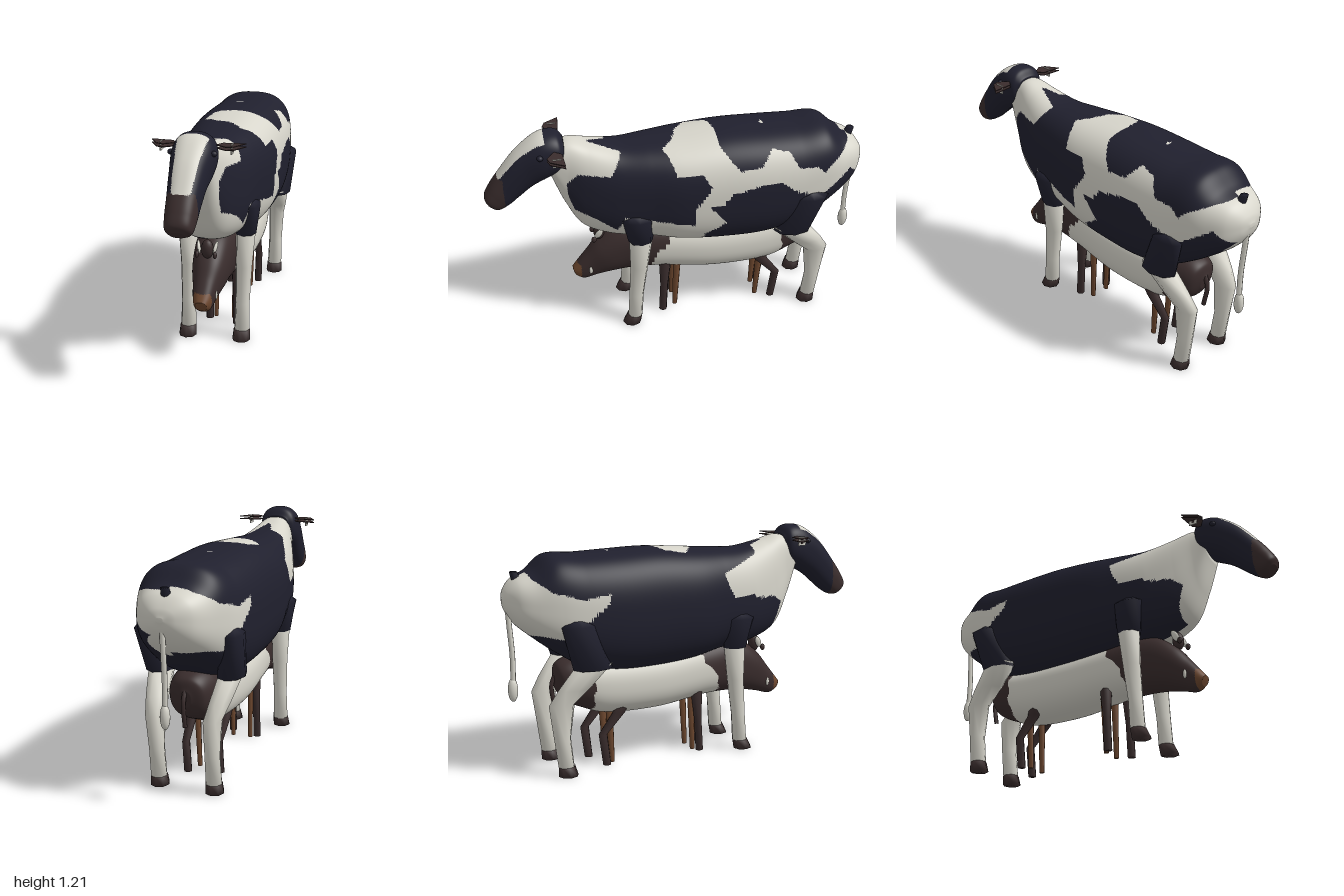
import * as THREE from 'three';

const mat = (name, color) => {
  const m = new THREE.MeshStandardMaterial({ color });
  m.name = name;
  return m;
};
const black = mat('blue black hide', 0x20202e);
const white = mat('cream white hide', 0xd8d6cc);
const brown = mat('dark brown', 0x3a2d2d);
const tan = mat('tan', 0x6e482f);

// Skin over rings. Each section is [zA, yA, zB, yB, halfWidth, xCentre]:
// A and B are opposite ends of the ring in the z-y plane.
// pick(x, y, z, c) returns a material index; c is 1 at the A side and -1 at the B side.
function loft(name, sections, nU, nV, mats, pick = () => 0, power = 2.4) {
  const curve = f => new THREE.CatmullRomCurve3(sections.map(f));
  const a = curve(s => new THREE.Vector3(s[4], s[1], s[0]));
  const b = curve(s => new THREE.Vector3(s[5] || 0, s[3], s[2]));
  const round = v => Math.sign(v) * Math.abs(v) ** (2 / power);
  const pos = [];
  for (let i = 0; i <= nU; i++) {
    const p = a.getPoint(i / nU), q = b.getPoint(i / nU);
    for (let j = 0; j < nV; j++) {
      const t = (j / nV) * Math.PI * 2, k = (1 + round(Math.cos(t))) / 2;
      pos.push(q.x + p.x * round(Math.sin(t)), q.y + (p.y - q.y) * k, q.z + (p.z - q.z) * k);
    }
  }
  for (const t of [0, 1]) {
    const p = a.getPoint(t), q = b.getPoint(t);
    pos.push(q.x, (p.y + q.y) / 2, (p.z + q.z) / 2);
  }
  const tris = [], end = (nU + 1) * nV;
  for (let j = 0; j < nV; j++) {
    const k = (j + 1) % nV, c = Math.cos(((j + 0.5) / nV) * Math.PI * 2);
    for (let i = 0; i < nU; i++) {
      const r = i * nV, s = r + nV;
      tris.push([r + j, s + j, s + k, c], [r + j, s + k, r + k, c]);
    }
    tris.push([end, j, k, c], [end + 1, nU * nV + k, nU * nV + j, c]);
  }
  // Turn all faces outward and sort them by colour
  const P = i => new THREE.Vector3().fromArray(pos, i * 3);
  const buckets = mats.map(() => []);
  let volume = 0;
  for (const [i, j, k, c] of tris) {
    const p = P(i), q = P(j), r = P(k);
    volume += p.dot(q.clone().cross(r));
    const m = p.add(q).add(r).divideScalar(3);
    buckets[pick(m.x, m.y, m.z, c)].push([i, j, k]);
  }
  const g = new THREE.BufferGeometry(), index = [];
  buckets.forEach((list, n) => {
    g.addGroup(index.length, list.length * 3, n);
    for (const [i, j, k] of list) index.push(i, ...(volume < 0 ? [k, j] : [j, k]));
  });
  g.setAttribute('position', new THREE.Float32BufferAttribute(pos, 3));
  g.setIndex(index);
  g.computeVertexNormals();
  const mesh = new THREE.Mesh(g, mats);
  mesh.name = name;
  return mesh;
}

// Leg piece from [y, z, halfDepth, x, halfWidth] rows; side is 1 or -1
const limb = (name, rows, side, material, dz = 0) =>
  loft(name, rows.map(([y, z, h, x, w]) => [z + dz + h, y, z + dz - h, y, w, x * side]),
    rows.length - 1, 8, [material], () => 0, 2);

function inside(poly, z, y) {
  let hit = false;
  poly.forEach(([z1, y1], i) => {
    const [z2, y2] = poly[(i + 1) % poly.length];
    if (y1 > y !== y2 > y && z < z1 + ((y - y1) / (y2 - y1)) * (z2 - z1)) hit = !hit;
  });
  return hit;
}

// Hide patches as (z, y) outlines
const leftBlack = [
  [[.58, .95], [.52, 1.01], [.36, 1], [.3, 1.09], [.3, 1.2], [.05, 1.2], [0, 1.08], [-.08, 1.03],
    [-.14, .93], [-.05, .8], [-.06, .7], [.1, .73], [.3, .76], [.34, .67], [.45, .75], [.55, .79], [.575, .87]],
  [[-.18, 1.2], [-.2, 1.1], [-.29, 1], [-.4, 1.01], [-.46, 1.08], [-.55, 1.06], [-.6, .98], [-.7, .97],
    [-.74, .93], [-.78, .97], [-.86, 1.01], [-.92, 1.03], [-.92, 1.2]],
  [[-.13, .82], [-.2, .82], [-.25, .88], [-.38, .91], [-.5, .92], [-.56, .87], [-.62, .83], [-.75, .8],
    [-.9, .9], [-.97, .83], [-.85, .7], [-.7, .58], [-.7, .4], [-.12, .4], [-.11, .62], [-.22, .7]],
];
const rightWhite = [
  [[.13, .99], [.25, 1.03], [.36, 1.07], [.4, 1.25], [.75, 1.25], [.75, .5], [.47, .5], [.49, .68],
    [.525, .8], [.46, .84], [.36, .84], [.3, .87], [.2, .85], [.16, .91]],
  [[-.91, 1.2], [-.88, 1.02], [-.8, .96], [-.65, .92], [-.52, .94], [-.53, .89], [-.62, .82], [-.75, .72],
    [-.85, .74], [-1.1, .7], [-1.1, 1.2]],
];
// White saddle seen from above, as (z, x)
const saddle = [[-.17, -.1], [-.2, .02], [-.16, .1], [-.22, .25], [.02, .25], [.09, .1], [.04, .05],
  [0, -.05], [-.06, -.13]];

function hide(x, y, z) {
  if (y > 1) {
    if (z > .2 && z < .46 && Math.abs(x) < (.47 - z) * .4) return 0;
    if (inside(saddle, z, x) || Math.hypot(x + .02, z + .45) < .014) return 1;
  }
  if (x > 0) return leftBlack.some(p => inside(p, z, y)) ? 0 : 1;
  return rightWhite.some(p => inside(p, z, y)) ? 1 : 0;
}

function ellipsoid(name, material, size, at) {
  const m = new THREE.Mesh(new THREE.SphereGeometry(1, 16, 10), material);
  m.name = name;
  m.scale.set(...size);
  m.position.set(...at);
  return m;
}

function box(name, material, size, at) {
  const m = new THREE.Mesh(new THREE.BoxGeometry(...size), material);
  m.name = name;
  m.position.set(...at);
  return m;
}

function tube(name, material, points, r) {
  const path = new THREE.CatmullRomCurve3(points.map(p => new THREE.Vector3(...p)));
  const m = new THREE.Mesh(new THREE.TubeGeometry(path, 12, r, 8), material);
  m.name = name;
  return m;
}

// Two thin leaf plates, one above the other
function buildEar(side) {
  const ear = new THREE.Group();
  ear.name = 'ear';
  const outline = [[.095, .63], [.12, .59], [.228, .582], [.185, .655], [.15, .668]];
  const leaf = new THREE.Shape(outline.map(p => new THREE.Vector2(...p)));
  const geo = new THREE.ExtrudeGeometry(leaf, { depth: .004, bevelEnabled: false }).rotateX(Math.PI / 2);
  for (const y of [1.132, 1.147]) {
    const plate = new THREE.Mesh(geo, brown);
    plate.name = 'earPlate';
    plate.position.y = y;
    ear.add(plate);
  }
  ear.scale.x = side;
  return ear;
}

function buildCow() {
  const cow = new THREE.Group();
  cow.name = 'cow';
  cow.add(loft('body', [
    [.62, 1.14, .65, .96, .08], [.55, 1.155, .59, .79, .1], [.45, 1.13, .51, .65, .14],
    [.3, 1.1, .38, .59, .185], [.15, 1.105, .15, .555, .222], [0, 1.115, 0, .525, .25],
    [-.23, 1.13, -.23, .505, .26], [-.45, 1.125, -.45, .51, .262], [-.62, 1.12, -.62, .55, .25],
    [-.77, 1.12, -.74, .62, .225], [-.86, 1.05, -.86, .71, .185], [-.94, 1.01, -.94, .78, .135],
    [-.985, .96, -.985, .85, .07], [-1, .92, -1, .9, .015],
  ], 240, 140, [black, white], hide, 2.65));

  // Head with white blaze and brown muzzle
  cow.add(loft('head', [
    [.575, 1.16, .58, 1.07, .07], [.61, 1.2, .6, 1, .1], [.69, 1.2, .66, .965, .106],
    [.81, 1.12, .74, .92, .09], [.92, .99, .82, .855, .077], [.97, .92, .87, .815, .072],
    [.998, .865, .92, .79, .062], [.99, .83, .955, .795, .035],
  ], 90, 80, [black, white, brown], (x, y, z, c) => {
    if (z > .895 && y < .985) return 2;
    return c > .2 && z > .67 && Math.abs(x) < .075 - (z - .67) * .12 ? 1 : 0;
  }));

  for (const s of [1, -1]) {
    cow.add(ellipsoid('eye', black, [.018, .014, .016], [s * .1, 1.12, .7]));
    cow.add(buildEar(s));
    cow.add(box('earTag', white, [.006, .046, .044], [s * .17, 1.128, .62]));
    cow.add(box('earTagStud', brown, [.009, .014, .014], [s * .17, 1.122, .62]));

    // Front leg
    cow.add(limb('shoulder', [[.765, .23, .055, .175, .03], [.74, .232, .085, .188, .046],
      [.58, .22, .066, .155, .055]], s, black));
    cow.add(limb('frontLeg', [[.59, .218, .063, .155, .052], [.4, .23, .049, .148, .044], [.2, .25, .04, .146, .038],
      [.05, .26, .04, .146, .042]], s, white));
    cow.add(limb('frontHoof', [[.052, .263, .043, .146, .044], [0, .28, .052, .146, .048]], s, brown));
    // Hind leg
    cow.add(limb('thigh', [[.82, -.675, .04, .21, .03], [.79, -.68, .09, .225, .05], [.56, -.6, .103, .186, .069]], s, black));
    cow.add(limb('hindLeg', [[.58, -.59, .098, .185, .06], [.46, -.69, .087, .165, .052], [.38, -.757, .068, .15, .045],
      [.2, -.757, .044, .146, .039], [.05, -.74, .042, .146, .042]], s, white));
    cow.add(limb('hindHoof', [[.052, -.738, .044, .146, .044], [0, -.73, .052, .146, .048]], s, brown));
  }

  // Tail
  cow.add(limb('tailBase', [[.97, -.91, .03, 0, .026], [1.045, -.938, .02, 0, .022]], 1, black));
  cow.add(tube('tail', white, [[0, .9, -.975], [0, .78, -.968], [0, .62, -.958], [0, .46, -.96]], .014));
  cow.add(ellipsoid('tailTuft', white, [.024, .062, .026], [0, .445, -.962]));
  return cow;
}

function buildCalf() {
  const calf = new THREE.Group();
  calf.name = 'calf';
  calf.add(loft('calfBody', [
    [.58, .32, .56, .27, .03], [.56, .345, .52, .25, .046], [.5, .42, .44, .27, .064],
    [.43, .505, .35, .29, .088], [.3, .595, .25, .3, .105], [.1, .6, .1, .3, .128],
    [-.2, .58, -.2, .265, .148], [-.5, .58, -.5, .275, .14], [-.65, .59, -.6, .31, .122],
    [-.73, .56, -.7, .36, .09], [-.75, .5, -.74, .42, .03],
  ], 130, 64, [brown, white, tan], (x, y, z) => {
    if (z > .535 && y < .355) return 2;
    const wave = Math.sin(y * 60) * .008;
    return z < .15 - Math.max(0, y - .4) * .75 + wave && z > -.57 + wave ? 1 : 0;
  }, 2.3));
  calf.add(ellipsoid('forelock', brown, [.032, .05, .03], [0, .55, .425]));

  for (const s of [1, -1]) {
    const ear = ellipsoid('calfEar', white, [.009, .036, .018], [s * .043, .562, .43]);
    ear.rotation.set(-.5, 0, s * -.2);
    calf.add(ear);
    calf.add(ellipsoid('calfEarTip', brown, [.01, .018, .014], [s * .046, .53, .457]));
    calf.add(ellipsoid('calfCheekMark', white, [.008, .024, .01], [s * .059, .33, .485]));

    // Staggered legs, each brown outer leg beside a slim tan inner one
    const dz = s > 0 ? 0 : -.045;
    calf.add(limb('calfFrontLeg', [[.36, .075, .036, .075, .03], [.18, .083, .022, .078, .02], [0, .092, .022, .08, .021]], s, brown, dz));
    calf.add(limb('calfInnerFrontLeg', [[.34, .005, .022, .055, .016], [0, .018, .014, .05, .012]], s, tan));
    calf.add(limb('calfHindLeg', [[.36, -.44, .05, .085, .035], [.28, -.47, .036, .083, .027], [.17, -.56, .024, .08, .02],
      [0, -.54, .022, .08, .021]], s, brown, -dz));
    calf.add(limb('calfInnerHindLeg', [[.34, -.47, .022, .055, .016], [0, -.455, .014, .05, .012]], s, tan));
  }
  calf.add(tube('calfTail', brown, [[0, .54, -.715], [0, .45, -.76], [0, .32, -.745]], .012));
  return calf;
}

export function createModel() {
  const model = new THREE.Group();
  model.name = 'cowAndCalf';
  model.add(buildCow(), buildCalf());
  return model;
}
